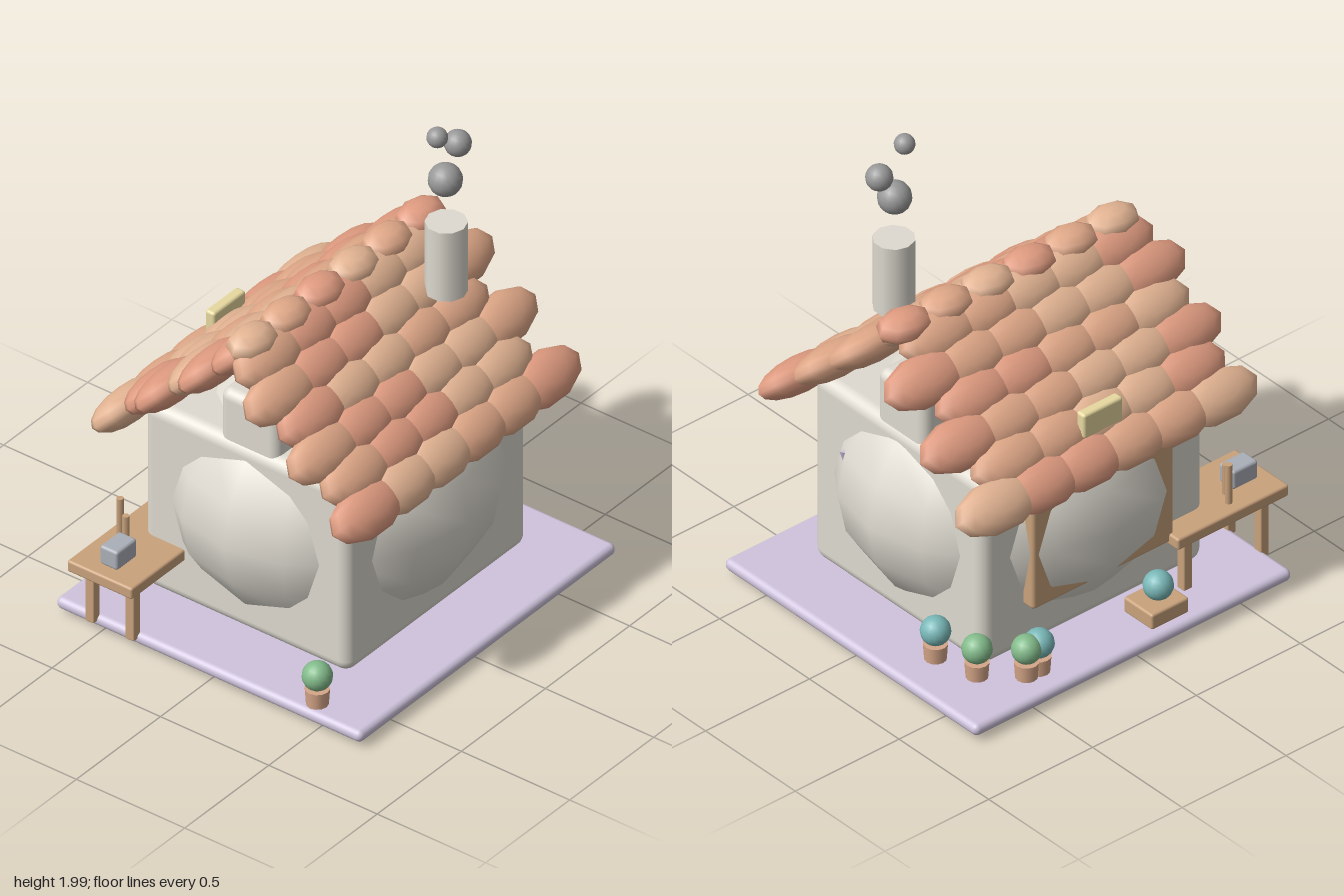
import * as THREE from 'three';
import { RoundedBoxGeometry } from 'three/addons/geometries/RoundedBoxGeometry.js';

const mat = (color) => new THREE.MeshStandardMaterial({ color });
const wall = mat(0xdedad0), wood = mat(0xc9a27c), lilac = mat(0xcfc4dd), smokeGrey = mat(0x999999);
const steel = mat(0xabafb8), green = mat(0x83bb8b), teal = mat(0x7ab8b8), cream = mat(0xe8d9a0);
const potClay = mat(0xd6a688);
const tileColors = [mat(0xe3b493), mat(0xdf9b80), mat(0xe0a888)];

export function createModel() {
  const model = new THREE.Group();

  const add = (name, geometry, material, x, y, z, parent = model) => {
    const mesh = new THREE.Mesh(geometry, material);
    mesh.name = name;
    mesh.position.set(x, y, z);
    parent.add(mesh);
    return mesh;
  };
  // Rounded box given by its limits on each axis
  const box = (name, material, [x0, x1], [y0, y1], [z0, z1], r, parent) =>
    add(name, new RoundedBoxGeometry(x1 - x0, y1 - y0, z1 - z0, 3, r), material,
      (x0 + x1) / 2, (y0 + y1) / 2, (z0 + z1) / 2, parent);

  // Ground slab and body, with the round inner volume bulging through the walls
  box('groundSlab', lilac, [-0.72, 0.807], [0.03, 0.08], [-0.705, 0.705], 0.024);
  box('walls', wall, [-0.495, 0.577], [0.11, 0.93], [-0.475, 0.475], 0.05);
  box('gableBlock', wall, [-0.48, 0.565], [0.87, 1.13], [-0.135, 0.135], 0.04);
  add('bulgingBody', new THREE.SphereGeometry(1, 16, 10), wall, 0.045, 0.55, 0).scale.set(0.67, 0.54, 0.608);

  // Back panel, plaque under the eaves and side chip
  box('backPanel', wood, [-0.3, 0.38], [0.31, 0.785], [-0.53, -0.465], 0.015);
  box('plaque', cream, [-0.055, 0.135], [0.96, 1.068], [-0.53, -0.485], 0.012);
  const chip = add('sideChip', new THREE.ConeGeometry(0.022, 0.075, 3), lilac, 0.61, 0.675, 0.25);
  chip.rotation.x = Math.PI;

  // Roof: two slopes of staggered tile rows and a ridge
  const roof = new THREE.Group();
  roof.name = 'roof';
  model.add(roof);
  const tileGeometry = new THREE.SphereGeometry(1, 10, 8);
  const ridgeGeometry = new THREE.SphereGeometry(1, 8, 6);
  for (const side of [1, -1]) {
    for (let row = 0; row < 6; row++) {
      const wide = row % 2 === 0;
      const count = wide ? 6 : 5;
      for (let i = 0; i < count; i++) {
        const x = (wide ? 0.045 : 0) + (i - (count - 1) / 2) * 0.21;
        const material = tileColors[(i * 2 + row * row + (side > 0 ? 1 : 0) + (i >> 1)) % 3];
        const tile = add('roofTile', tileGeometry, material, x, 0.88 + 0.087 * row, side * (0.55 - 0.1 * row), roof);
        tile.scale.set(wide ? 0.2 : 0.19, 0.07, 0.102);
        tile.rotation.x = side * 0.75;
      }
    }
  }
  for (let i = 0; i < 6; i++) {
    add('ridgeTile', ridgeGeometry, tileColors[(i * 2) % 3], 0.045 + (i - 2.5) * 0.2, 1.383, 0, roof)
      .scale.set(0.118, 0.06, 0.083);
  }

  // Chimney and smoke
  add('chimney', new THREE.CylinderGeometry(0.08, 0.08, 0.305, 10), wall, 0.377, 1.408, 0.25);
  for (const [x, y, r] of [[0.378, 1.745, 0.065], [0.452, 1.867, 0.052], [0.33, 1.96, 0.04]]) {
    add('smokePuff', new THREE.SphereGeometry(r, 16, 12), smokeGrey, x, y, 0.245);
  }

  // Workbench
  const bench = new THREE.Group();
  bench.name = 'workbench';
  model.add(bench);
  box('benchTop', wood, [-0.81, -0.275], [0.3, 0.35], [-0.58, -0.28], 0.01, bench);
  for (const x of [-0.72, -0.35]) {
    for (const z of [-0.53, -0.345]) {
      box('benchLeg', wood, [x - 0.02, x + 0.02], [0.055, 0.31], [z - 0.02, z + 0.02], 0.006, bench);
    }
  }
  box('toolBlock', steel, [-0.752, -0.632], [0.348, 0.43], [-0.475, -0.392], 0.012, bench);
  add('toolRod', new THREE.CylinderGeometry(0.014, 0.014, 0.26, 8), wood, -0.57, 0.39, -0.52, bench);
  add('toolRod', new THREE.CylinderGeometry(0.014, 0.014, 0.13, 8), wood, -0.6, 0.415, -0.47, bench);

  // Potted plants and the crate at the back
  const plants = [
    [-0.66, 0.46, green], [0.63, -0.275, teal], [0.59, -0.46, green],
    [0.455, -0.58, green], [0.395, -0.58, teal],
  ];
  const potGeometry = new THREE.CylinderGeometry(0.047, 0.042, 0.075, 12);
  const leafGeometry = new THREE.SphereGeometry(0.058, 16, 12);
  for (const [x, z, leaf] of plants) {
    const plant = new THREE.Group();
    plant.name = 'pottedPlant';
    plant.position.set(x, 0, z);
    model.add(plant);
    add('pot', potGeometry, potClay, 0, 0.11, 0, plant);
    add('foliage', leafGeometry, leaf, 0, 0.203, 0, plant);
  }
  box('crate', wood, [-0.26, -0.08], [0.078, 0.145], [-0.66, -0.5], 0.01);
  add('crateFoliage', leafGeometry, teal, -0.175, 0.2, -0.585);

  return model;
}
